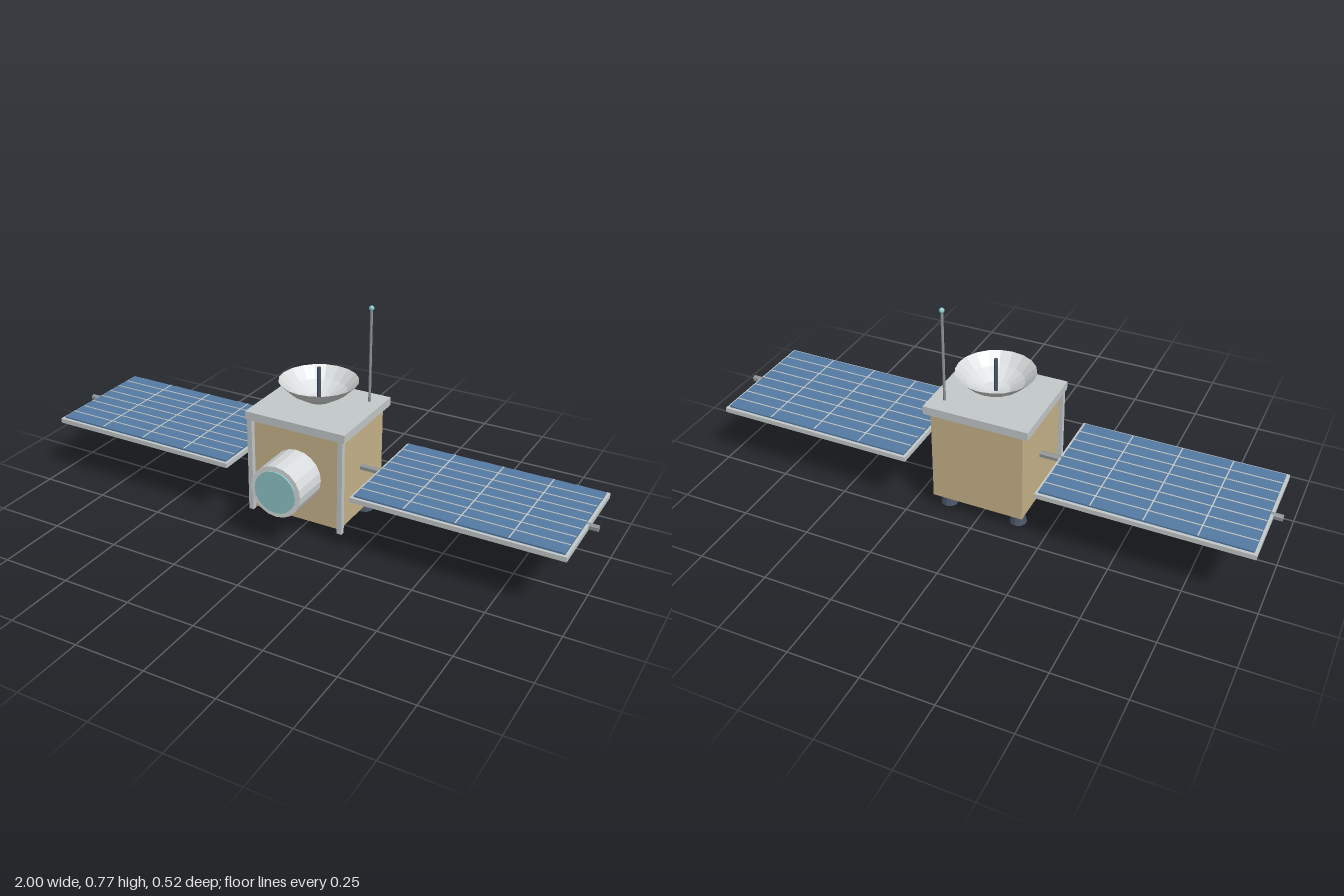
import * as THREE from 'three';

const mat = (name, color, opts = {}) => {
  const m = new THREE.MeshStandardMaterial({ color, flatShading: true, ...opts });
  m.name = name;
  return m;
};

export function createModel() {
  const gold = mat('gold foil', 0xc8b48a);
  const frame = mat('light grey frame', 0xc4c9ca);
  const white = mat('pale metal', 0xd8dcdd);
  const dishMat = mat('dish metal', 0xd8dcdc, { side: THREE.DoubleSide });
  const steel = mat('steel', 0x8f9496);
  const dark = mat('dark slate', 0x4a5566);
  const blue = mat('solar blue', 0x557ca3);
  const glass = mat('teal glass', 0x8ec6c6);

  const model = new THREE.Group();
  model.name = 'satellite';
  const add = (name, geo, material, x, y, z, parent = model) => {
    const m = new THREE.Mesh(geo, material);
    m.name = name;
    m.position.set(x, y, z);
    parent.add(m);
    return m;
  };
  const box = (w, h, d) => new THREE.BoxGeometry(w, h, d);
  const cyl = (rt, rb, h, n) => new THREE.CylinderGeometry(rt, rb, h, n);

  const midY = 0.226, midZ = -0.037;

  // Body and top deck
  add('body', box(0.335, 0.34, 0.312), gold, 0, 0.225, -0.039);
  add('topDeck', box(0.38, 0.03, 0.342), frame, 0, 0.41, -0.036);

  // Front telescope with lens
  add('telescopeTube', cyl(0.094, 0.094, 0.14, 20).rotateX(Math.PI / 2), white, 0, 0.224, 0.187);
  add('lens', cyl(0.077, 0.077, 0.008, 20).rotateX(Math.PI / 2), glass, 0, 0.224, 0.259);

  // Dish and its feed
  const profile = [[0, 0.436], [0.049, 0.446], [0.0985, 0.476], [0.138, 0.515]]
    .map(([r, y]) => new THREE.Vector2(r, y));
  add('dish', new THREE.LatheGeometry(profile, 20), dishMat, 0, 0, midZ);
  add('dishFeed', cyl(0.007, 0.007, 0.122, 8), dark, 0, 0.501, midZ);

  // Whip antenna
  add('antennaRod', cyl(0.005, 0.005, 0.34, 8), steel, 0.141, 0.595, -0.142);
  add('antennaTip', new THREE.SphereGeometry(0.0095, 8, 6), glass, 0.141, 0.765, -0.142);

  for (const s of [1, -1]) {
    const side = s > 0 ? 'left' : 'right';

    // Front corner posts and rear thrusters
    add(side + 'Post', box(0.018, 0.354, 0.018), frame, s * 0.174, 0.226, 0.126);
    add(side + 'Thruster', cyl(0.018, 0.031, 0.056, 10), dark, s * 0.132, 0.028, -0.142);

    // Solar wing: axle, rim, cell slab and grid lines
    const wing = new THREE.Group();
    wing.name = side + 'SolarWing';
    wing.position.set(s * 0.604, midY, midZ);
    model.add(wing);
    const axle = cyl(0.012, 0.012, 0.84, 6).rotateY(Math.PI / 2).rotateZ(Math.PI / 2);
    add('axle', axle, steel, s * -0.024, 0, 0, wing);
    const W = 0.732, D = 0.447, cw = 0.712, cd = 0.425;
    add('panelRim', box(W, 0.017, D), frame, 0, 0, 0, wing);
    add('solarCells', box(cw, 0.029, cd), blue, 0, 0, 0, wing);
    for (let i = 1; i < 4; i++)
      add('columnLine', box(0.004, 0.002, cd), frame, (i / 4 - 0.5) * cw, 0.0152, 0, wing);
    for (let i = 1; i < 8; i++)
      add('rowLine', box(cw, 0.002, 0.004), frame, 0, 0.0152, (i / 8 - 0.5) * cd, wing);
  }
  return model;
}
